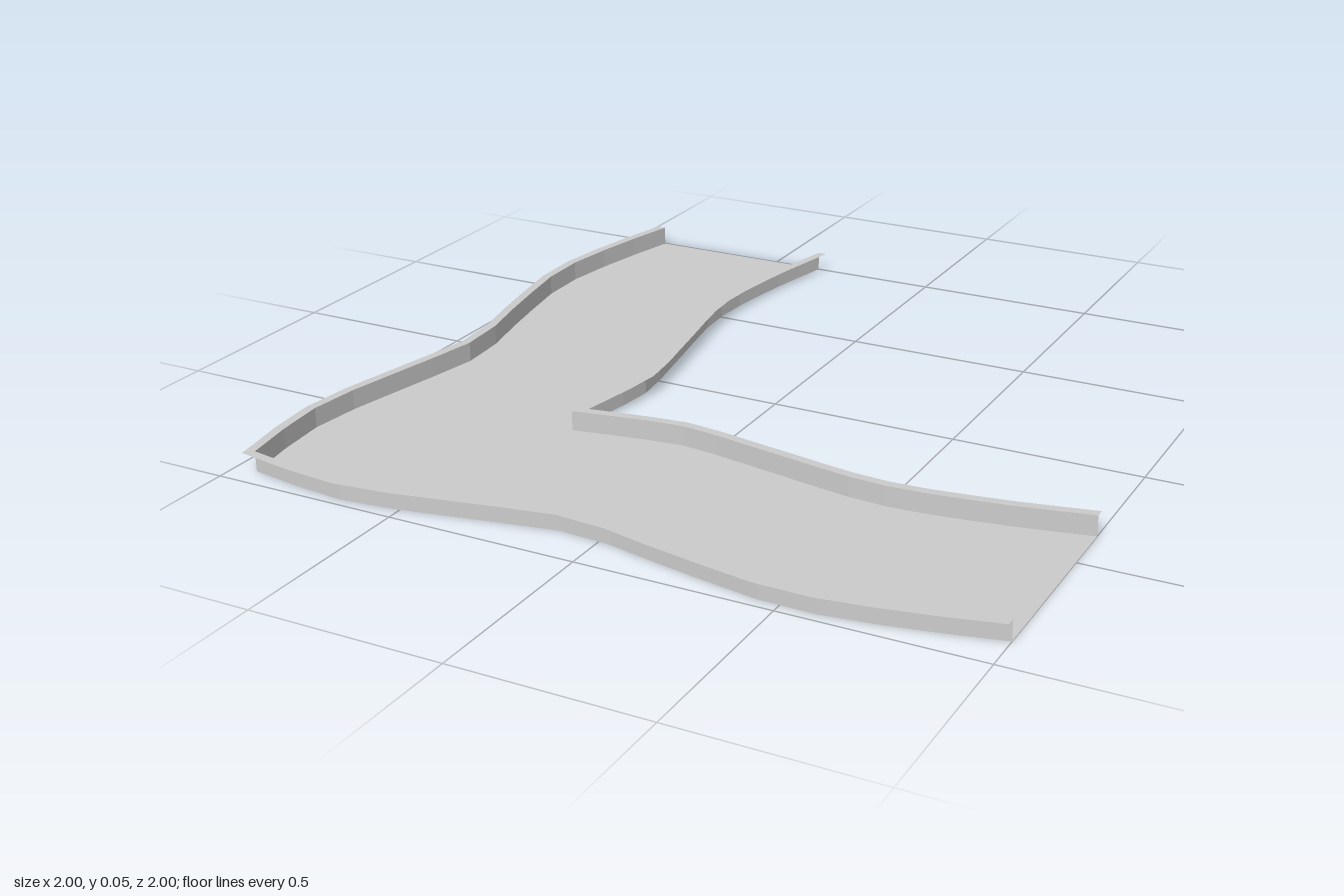
import * as THREE from 'three';

const HEIGHT = 0.053; // wall height
const LIP = 0.025; // width of the flat lip on top of each wall
const SEGMENTS = 14; // facets along each arm

const material = new THREE.MeshStandardMaterial({ color: 0xcccccc, flatShading: true, side: THREE.DoubleSide });

// Smooth edge of one arm, then the same edge mirrored over the diagonal for the other arm
function bankLine(points) {
  const curve = new THREE.SplineCurve(points.map(([x, z]) => new THREE.Vector2(x, z)));
  const arm = curve.getSpacedPoints(SEGMENTS);
  const mirrored = arm.slice(0, -1).reverse().map((p) => new THREE.Vector2(-p.y, -p.x));
  return [...arm, ...mirrored];
}

// Mitred offset of a line, kept flush with the cut ends of the arms
function offsetLine(line, distance) {
  const last = line.length - 1;
  const normal = (a, b) => {
    const d = b.clone().sub(a).normalize();
    return new THREE.Vector2(-d.y, d.x);
  };
  return line.map((p, i) => {
    if (i === 0) return new THREE.Vector2(p.x - distance, p.y);
    if (i === last) return new THREE.Vector2(p.x, p.y + distance);
    const n0 = normal(line[i - 1], p);
    const n1 = normal(p, line[i + 1]);
    const sum = n0.clone().add(n1);
    return p.clone().addScaledVector(sum, distance / (1 + n0.dot(n1)));
  });
}

// Strip between two lines, each at its own height
function strip(name, lineA, yA, lineB, yB) {
  const positions = [];
  const index = [];
  lineA.forEach((a, i) => {
    const b = lineB[i];
    positions.push(a.x, yA, a.y, b.x, yB, b.y);
    if (i > 0) {
      const k = 2 * i;
      index.push(k - 2, k - 1, k, k, k - 1, k + 1);
    }
  });
  const geometry = new THREE.BufferGeometry();
  geometry.setAttribute('position', new THREE.Float32BufferAttribute(positions, 3));
  geometry.setIndex(index);
  geometry.computeVertexNormals();
  const mesh = new THREE.Mesh(geometry, material);
  mesh.name = name;
  return mesh;
}

// Upright wall with a thin lip folded away from the floor
function curb(name, line, side) {
  const group = new THREE.Group();
  group.name = name;
  group.add(strip('wall', line, 0, line, HEIGHT));
  group.add(strip('lip', line, HEIGHT, offsetLine(line, side * LIP), HEIGHT));
  return group;
}

export function createModel() {
  const model = new THREE.Group();
  model.name = 'wavyCornerChannel';

  const outer = bankLine([
    [-0.895, -1], [-0.95, -0.75], [-0.975, -0.5], [-0.927, -0.2],
    [-0.88, 0.07], [-0.928, 0.35], [-0.975, 0.65], [-0.938, 0.938],
  ]);
  const inner = bankLine([
    [-0.355, -1], [-0.404, -0.75], [-0.428, -0.48], [-0.385, -0.2],
    [-0.34, 0.07], [-0.355, 0.22], [-0.383, 0.383],
  ]);

  // Flat floor between the two edges
  const outline = [...outer, ...inner.slice().reverse()];
  const shape = new THREE.Shape(outline.map((p) => new THREE.Vector2(p.x, -p.y)));
  const floor = new THREE.Mesh(new THREE.ShapeGeometry(shape).rotateX(-Math.PI / 2), material);
  floor.name = 'floor';
  model.add(floor);

  // Curbs along both edges; the arm ends stay open
  model.add(curb('outerCurb', outer, 1));
  model.add(curb('innerCurb', inner, -1));

  return model;
}
